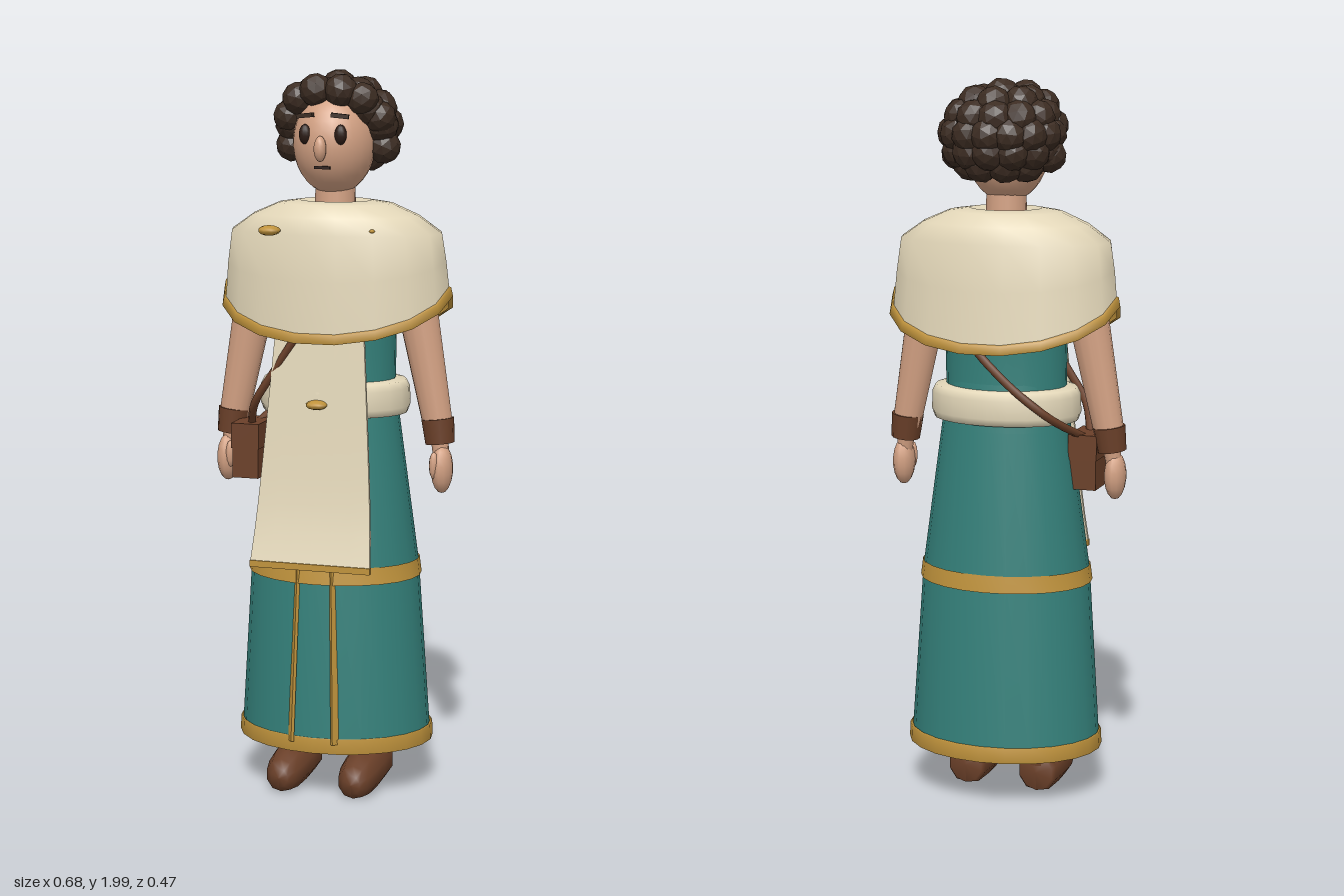
import * as THREE from 'three';

const paint = (name, color, side = THREE.FrontSide) => {
  const m = new THREE.MeshStandardMaterial({ color, side });
  m.name = name;
  return m;
};

export function createModel() {
  const model = new THREE.Group();
  const teal = paint('teal cloth', 0x34807a, THREE.DoubleSide);
  const cream = paint('cream cloth', 0xe2d6b8, THREE.DoubleSide);
  const gold = paint('gold trim', 0xc0933c, THREE.DoubleSide);
  const leather = paint('brown leather', 0x6b4029);
  const skin = paint('skin', 0xd3a183);
  const hair = paint('dark brown hair', 0x3c2c22);
  hair.flatShading = true;
  const dark = paint('dark features', 0x2c1c16);

  const add = (name, geo, mat, x = 0, y = 0, z = 0) => {
    const mesh = new THREE.Mesh(geo, mat);
    mesh.name = name;
    mesh.position.set(x, y, z);
    model.add(mesh);
    return mesh;
  };

  // Elliptical shell, rings from top to bottom: [y, rx, rz, centreZ, dip at front and back]
  const shell = (name, rings, mat, seg = 24) => {
    const pos = [], index = [];
    rings.forEach(([y, rx, rz, cz = 0, dip = 0], i) => {
      for (let j = 0; j < seg; j++) {
        const a = (j / seg) * Math.PI * 2;
        pos.push(rx * Math.cos(a), y - dip * Math.abs(Math.sin(a)), cz + rz * Math.sin(a));
        if (i === rings.length - 1) continue;
        const k = (j + 1) % seg, p = i * seg, q = p + seg;
        index.push(p + j, p + k, q + j, p + k, q + k, q + j);
      }
    });
    const g = new THREE.BufferGeometry();
    g.setAttribute('position', new THREE.Float32BufferAttribute(pos, 3));
    g.setIndex(index);
    g.computeVertexNormals();
    return add(name, g, mat);
  };

  // Stretches a y-aligned geometry mesh between two points
  const between = (name, makeGeo, mat, a, b) => {
    const A = new THREE.Vector3(...a), B = new THREE.Vector3(...b);
    const d = B.clone().sub(A);
    const mesh = add(name, makeGeo(d.length()), mat);
    mesh.position.copy(A).add(B).multiplyScalar(0.5);
    mesh.quaternion.setFromUnitVectors(new THREE.Vector3(0, 1, 0), d.normalize());
    return mesh;
  };

  const ball = (name, mat, [x, y, z], [sx, sy, sz], seg = 16) => {
    const m = add(name, new THREE.SphereGeometry(1, seg, Math.ceil(seg * 0.7)), mat, x, y, z);
    m.scale.set(sx, sy, sz);
    return m;
  };

  // Gown
  shell('bodice', [[1.64, 0.06, 0.06], [1.625, 0.1, 0.085], [1.58, 0.18, 0.115], [1.45, 0.18, 0.135],
    [1.3, 0.172, 0.13], [1.16, 0.17, 0.13], [1.05, 0.175, 0.138]], teal);
  shell('skirt', [[1.18, 0.165, 0.132], [1.05, 0.182, 0.145], [0.64, 0.238, 0.19],
    [0.16, 0.269, 0.217, -0.008]], teal);
  shell('skirtBand', [[0.662, 0.239, 0.191], [0.615, 0.245, 0.197]], gold);
  shell('skirtHem', [[0.185, 0.27, 0.218, -0.008], [0.183, 0.275, 0.222, -0.01],
    [0.142, 0.277, 0.224, -0.01], [0.14, 0.268, 0.215, -0.01]], gold);
  for (const s of [-1, 1]) {
    between('skirtStripe', (l) => new THREE.BoxGeometry(0.02, l, 0.009), gold,
      [s * 0.05, 0.72, 0.179], [s * 0.063, 0.17, 0.207]);
  }
  shell('sash', [[1.165, 0.165, 0.13], [1.16, 0.2, 0.152], [1.14, 0.21, 0.162], [1.09, 0.211, 0.163],
    [1.07, 0.204, 0.155], [1.065, 0.17, 0.13]], cream);

  // Shoulder cape and its border
  shell('cape', [[1.635, 0.085, 0.075], [1.65, 0.1, 0.087, -0.003], [1.642, 0.16, 0.117, -0.005],
    [1.61, 0.235, 0.15, -0.006], [1.565, 0.3, 0.174, -0.008], [1.49, 0.312, 0.187, -0.01, 0.05],
    [1.42, 0.319, 0.2, -0.014, 0.12]], cream, 18);
  shell('capeBorder', [[1.422, 0.32, 0.201, -0.014, 0.12], [1.418, 0.325, 0.206, -0.014, 0.12],
    [1.395, 0.33, 0.211, -0.016, 0.12], [1.394, 0.318, 0.2, -0.014, 0.12]], gold, 18);

  // Hanging front panel, widening and leaning forward toward its foot
  const panel = new THREE.BoxGeometry(1, 1, 0.01, 6, 8, 1);
  const pp = panel.attributes.position;
  for (let i = 0; i < pp.count; i++) {
    const t = 0.5 - pp.getY(i);
    pp.setXYZ(i, pp.getX(i) * (0.25 + 0.09 * t), 1.31 - 0.63 * t,
      pp.getZ(i) + 0.138 + 0.068 * t + 0.022 * t ** 6);
  }
  panel.computeVertexNormals();
  add('frontPanel', panel, cream);
  add('panelBorder', new THREE.BoxGeometry(0.342, 0.018, 0.016), gold, 0, 0.672, 0.229);

  // Pins
  ball('shoulderPin', gold, [-0.133, 1.577, 0.17], [0.031, 0.014, 0.031], 9);
  ball('sashPin', gold, [0, 1.108, 0.168], [0.031, 0.013, 0.03], 9);
  ball('smallPin', gold, [0.145, 1.579, 0.135], [0.008, 0.005, 0.01], 8);

  // Satchel and shoulder strap
  add('satchel', new THREE.BoxGeometry(0.075, 0.15, 0.13), leather, -0.227, 0.957, 0.045);
  add('satchelFlap', new THREE.BoxGeometry(0.081, 0.07, 0.136), leather, -0.227, 1.0, 0.045);
  const strap = new THREE.CatmullRomCurve3([
    [-0.225, 1.02, 0.06], [-0.19, 1.1, 0.13], [-0.13, 1.19, 0.145], [-0.02, 1.36, 0.145],
    [0.1, 1.57, 0.1], [0.13, 1.61, 0], [0.12, 1.52, -0.125], [0.07, 1.32, -0.138],
    [-0.04, 1.2, -0.15], [-0.16, 1.1, -0.125], [-0.225, 1.02, 0.02],
  ].map((p) => new THREE.Vector3(...p)));
  add('satchelStrap', new THREE.TubeGeometry(strap, 60, 0.011, 6), leather);

  // Arms, cuffs, hands, legs and shoes
  for (const s of [-1, 1]) {
    ball('shoulder', skin, [s * 0.21, 1.5, 0], [0.062, 0.062, 0.055]);
    between('arm', (l) => new THREE.CylinderGeometry(0.041, 0.062, l, 14), skin,
      [s * 0.208, 1.5, 0], [s * 0.298, 1.03, 0.005]).scale.z = 0.92;
    between('cuff', (l) => new THREE.CylinderGeometry(0.04, 0.045, l, 12), leather,
      [s * 0.295, 1.06, 0.005], [s * 0.303, 0.992, 0.008]);
    between('wrist', (l) => new THREE.CylinderGeometry(0.022, 0.024, l, 10), skin,
      [s * 0.302, 1.0, 0.008], [s * 0.308, 0.95, 0.012]);
    ball('hand', skin, [s * 0.311, 0.922, 0.015], [0.03, 0.067, 0.042], 12);
    ball('thumb', skin, [s * 0.295, 0.935, 0.043], [0.014, 0.038, 0.014], 8);

    add('leg', new THREE.CylinderGeometry(0.06, 0.05, 0.65, 12), leather, s * 0.105, 0.41, -0.005);
    const shoe = new THREE.LatheGeometry([[0, -0.052], [0.048, -0.05], [0.057, -0.035], [0.06, 0.05],
      [0.055, 0.12], [0.044, 0.17], [0.025, 0.188], [0, 0.192]]
      .map(([r, y]) => new THREE.Vector2(r, y)), 10);
    shoe.rotateX(Math.PI / 2);
    const sp = shoe.attributes.position;
    for (let i = 0; i < sp.count; i++) {
      const toe = Math.max(0, sp.getZ(i) - 0.04) * 0.08;
      sp.setY(i, Math.max(0.008, sp.getY(i) * 1.08 + 0.064 - toe));
    }
    shoe.computeVertexNormals();
    add('shoe', shoe, leather, s * 0.105, 0, 0);
  }

  // Head and face
  add('neck', new THREE.CylinderGeometry(0.053, 0.058, 0.14, 16), skin, 0, 1.66, 0);
  ball('head', skin, [0, 1.805, 0.01], [0.112, 0.14, 0.118], 24);
  ball('nose', skin, [0, 1.795, 0.136], [0.017, 0.035, 0.022], 10);
  add('mouth', new THREE.BoxGeometry(0.044, 0.008, 0.01), dark, 0, 1.744, 0.115);
  for (const s of [-1, 1]) {
    ball('eye', dark, [s * 0.05, 1.832, 0.112], [0.017, 0.027, 0.016], 12);
    const brow = add('eyebrow', new THREE.BoxGeometry(0.048, 0.012, 0.014), hair, s * 0.049, 1.882, 0.115);
    brow.rotation.set(0, s * 0.15, -s * 0.1);
  }

  // Hair: a cap covered in rings of faceted curls, open at the face
  ball('hairCap', hair, [0, 1.86, -0.035], [0.122, 0.108, 0.11], 16);
  const curl = (x, y, z, r) => {
    const m = add('curl', new THREE.IcosahedronGeometry(r, 1), hair, x, y, z);
    m.rotation.set(x * 30, y * 20, z * 30);
  };
  [[0, 1], [35, 6], [62, 11], [88, 14], [114, 12], [138, 8]].forEach(([deg, n], ring) => {
    const p = THREE.MathUtils.degToRad(deg);
    for (let i = 0; i < n; i++) {
      const a = ((i + (ring % 2) * 0.5) / n) * Math.PI * 2;
      const x = 0.128 * Math.sin(p) * Math.cos(a);
      const y = 1.85 + 0.102 * Math.cos(p);
      const z = -0.037 + 0.112 * Math.sin(p) * Math.sin(a);
      const limit = y > 1.93 ? 1 : y > 1.88 ? 0.035 : y > 1.83 ? 0.02 : y > 1.79 ? -0.01 : -0.05;
      if (z < limit) curl(x, y, z, 0.05);
    }
  });
  for (const s of [-1, 1]) {
    curl(s * 0.035, 1.947, 0.062, 0.046);
    curl(s * 0.09, 1.925, 0.045, 0.045);
    curl(s * 0.128, 1.875, 0.01, 0.045);
    curl(s * 0.13, 1.795, -0.025, 0.047);
  }
  return model;
}
